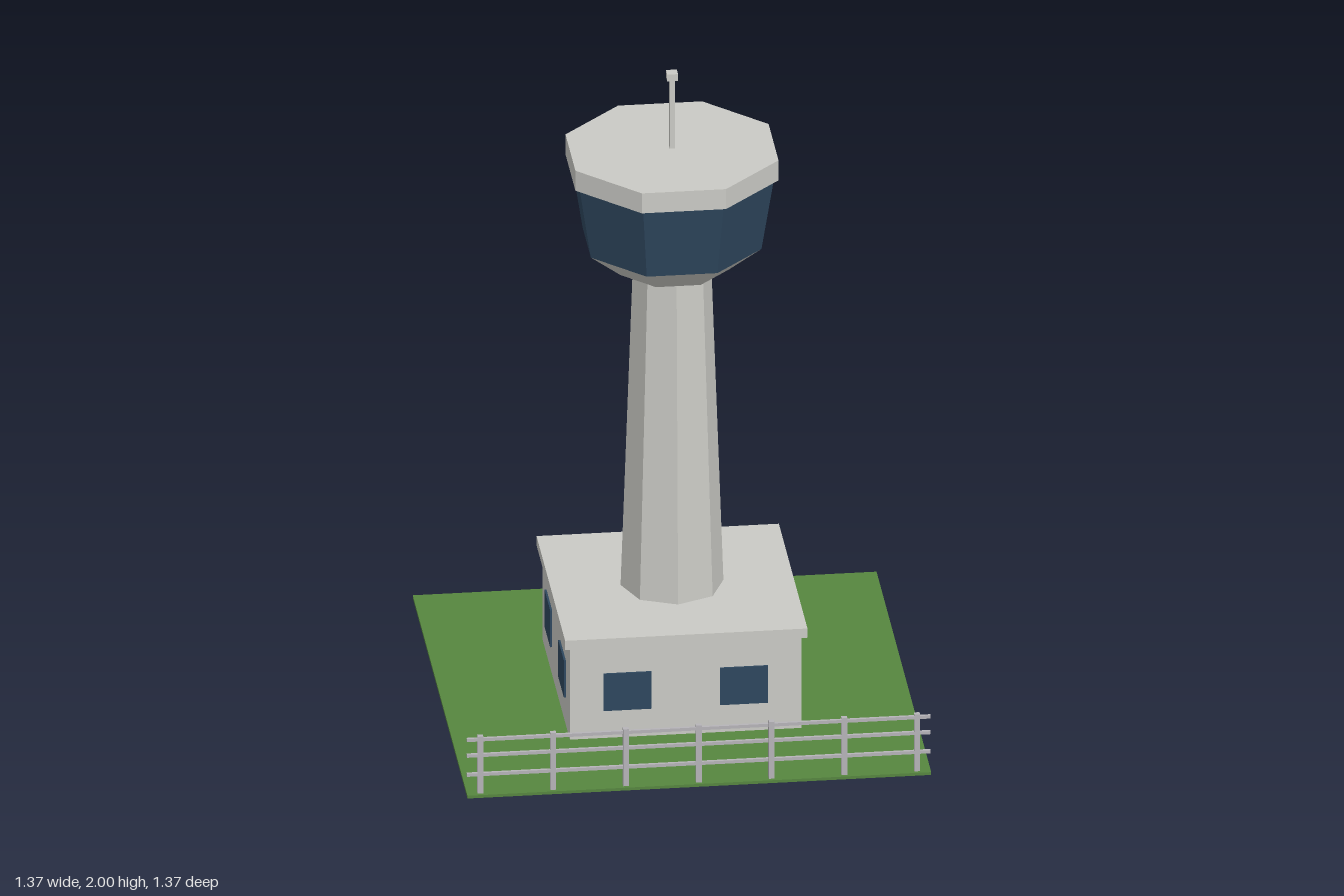
import * as THREE from 'three';

const material = (name, color) => {
  const m = new THREE.MeshStandardMaterial({ color });
  m.name = name;
  return m;
};

export function createModel() {
  const concrete = material('concrete', 0xcacac5);
  const glass = material('darkBlueGlass', 0x2e475e);
  const grass = material('grass', 0x56863f);
  const metal = material('fenceMetal', 0xb6b4b8);

  const model = new THREE.Group();
  model.name = 'controlTower';

  const add = (name, geometry, mat, x = 0, y = 0, z = 0, parent = model) => {
    const mesh = new THREE.Mesh(geometry, mat);
    mesh.name = name;
    mesh.position.set(x, y, z);
    parent.add(mesh);
    return mesh;
  };
  const box = (name, w, y0, y1, d, mat, x = 0, z = 0, parent = model) =>
    add(name, new THREE.BoxGeometry(w, y1 - y0, d), mat, x, (y0 + y1) / 2, z, parent);

  // Faceted eight-sided section; turn = PI / 8 puts a flat face to the front
  const octagon = (name, rBottom, rTop, y0, y1, mat, turn = 0, open = false) => {
    const g = new THREE.CylinderGeometry(rTop, rBottom, y1 - y0, 8, 1, open).toNonIndexed();
    g.computeVertexNormals();
    g.rotateY(turn);
    return add(name, g, mat, 0, (y0 + y1) / 2, 0);
  };
  const flat = Math.PI / 8;
  const radius = (halfWidth) => halfWidth / Math.cos(flat);

  // Lawn and base building
  box('lawn', 1.37, 0.001, 0.01, 1.37, grass);
  box('baseBuilding', 0.684, 0, 0.31, 0.684, concrete);
  box('baseRoof', 0.716, 0.31, 0.34, 0.716, concrete);

  // Two windows on each of the four walls
  for (let side = 0; side < 4; side++) {
    const wall = new THREE.Group();
    wall.name = 'wallWindows';
    wall.rotation.y = side * Math.PI / 2;
    for (const s of [-1, 1]) box('window', 0.142, 0.1, 0.22, 0.009, glass, s * 0.172, 0.3435, wall);
    model.add(wall);
  }

  // Tapered shaft
  octagon('shaft', 0.152, 0.115, 0.34, 1.4, concrete);

  // Control cab
  octagon('cabUnderside', radius(0.16), radius(0.252), 1.38, 1.46, concrete, flat, true);
  const floor = new THREE.CircleGeometry(radius(0.16), 8, flat);
  floor.rotateX(Math.PI / 2);
  add('cabFloor', floor, glass, 0, 1.38, 0);
  octagon('cabWindows', radius(0.252), radius(0.287), 1.46, 1.69, glass, flat);
  octagon('cabRoof', radius(0.3), radius(0.3), 1.69, 1.755, concrete, flat);

  // Antenna
  box('antennaPole', 0.015, 1.755, 1.98, 0.015, concrete);
  box('antennaTip', 0.032, 1.978, 2, 0.032, concrete);

  // Front fence
  const fence = new THREE.Group();
  fence.name = 'fence';
  model.add(fence);
  for (let i = -3; i <= 3; i++) box('fencePost', 0.017, 0.01, 0.195, 0.015, metal, i * 0.215, 0.667, fence);
  for (const y of [0.07, 0.132, 0.183]) box('fenceRail', 1.37, y - 0.005, y + 0.005, 0.009, metal, 0, 0.667, fence);

  return model;
}
